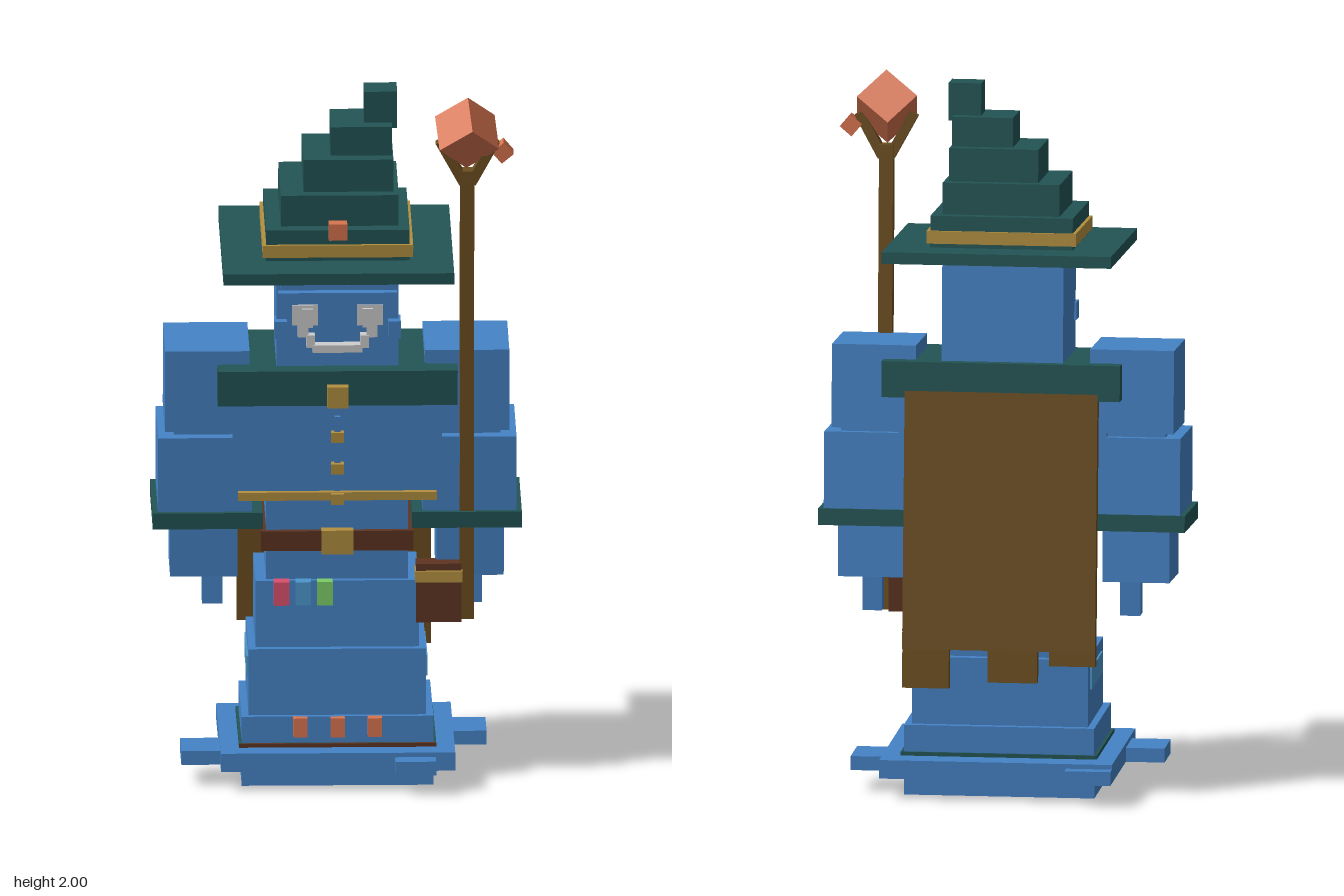
import * as THREE from 'three';

const mat = (name, color) => {
  const m = new THREE.MeshStandardMaterial({ color });
  m.name = name;
  return m;
};

export function createModel() {
  const model = new THREE.Group();
  model.name = 'wizardFigure';
  const blue = mat('robe blue', 0x4583c6);
  const green = mat('hat green', 0x235454);
  const gold = mat('gold', 0xb3903f);
  const leather = mat('leather brown', 0x5e3422);
  const wood = mat('wood brown', 0x6e4f20);
  const copper = mat('copper', 0xd8744f);
  const white = mat('pale grey', 0xcdcdcd);
  const sky = mat('light blue', 0x4c96cb);
  const pink = mat('pink', 0xd9506c);
  const lime = mat('lime', 0x7ccb68);
  const LEAN = 0.055; // forward lean of the upper body

  // Box from its bounds, turned about its own centre
  function box(name, material, x, y, z, rx = 0, rz = 0) {
    const mesh = new THREE.Mesh(
      new THREE.BoxGeometry(x[1] - x[0], y[1] - y[0], z[1] - z[0]), material);
    mesh.position.set((x[0] + x[1]) / 2, (y[0] + y[1]) / 2, (z[0] + z[1]) / 2);
    mesh.rotation.set(rx, 0, rz);
    mesh.name = name;
    model.add(mesh);
    return mesh;
  }
  // Same box on both sides
  function pair(name, material, x, y, z, rx = 0) {
    box(name + 'Left', material, x, y, z, rx);
    box(name + 'Right', material, [-x[1], -x[0]], y, z, rx);
  }

  // Base and its spreading hem
  box('base', blue, [-0.27, 0.27], [0, 0.06], [-0.22, 0.185]);
  box('hemPlate', blue, [-0.33, 0.33], [0.06, 0.113], [-0.305, 0.26]);
  box('hemBumpLeft', blue, [0.3, 0.425], [0.06, 0.1], [-0.185, -0.03]);
  box('hemBumpRight', blue, [-0.44, -0.3], [0.06, 0.1], [0.03, 0.178]);
  box('hemBumpBack', blue, [-0.33, -0.2], [0.06, 0.1], [-0.345, -0.28]);
  box('hemBumpFront', blue, [0.16, 0.275], [0.06, 0.1], [0.24, 0.312]);
  box('hemTrim', green, [-0.278, 0.278], [0.11, 0.124], [-0.228, 0.188]);
  box('hemTrimFront', leather, [-0.278, 0.278], [0.112, 0.124], [0.186, 0.194]);

  // Robe tiers
  box('robeLower', blue, [-0.27, 0.27], [0.12, 0.2], [-0.222, 0.182]);
  box('robeMiddle', blue, [-0.25, 0.25], [0.2, 0.392], [-0.2, 0.165]);
  box('robeUpper', blue, [-0.23, 0.23], [0.39, 0.585], [-0.175, 0.142]);
  pair('robeSidePatch', sky, [0.247, 0.255], [0.3, 0.36], [-0.152, 0.118]);
  for (const x of [-0.105, 0, 0.105])
    box('hemStud', copper, [x - 0.02, x + 0.02], [0.145, 0.2], [0.178, 0.207]);

  // Vials on the robe front
  [pink, sky, lime].forEach((m, i) => {
    const x = -0.157 + i * 0.061;
    box('vial', m, [x - 0.022, x + 0.022], [0.52, 0.588], [0.13, 0.172]);
  });

  // Torso, belt and chest
  box('waist', blue, [-0.2, 0.2], [0.57, 0.86], [-0.125, 0.13], LEAN);
  box('belt', leather, [-0.215, 0.215], [0.68, 0.738], [-0.152, 0.145], LEAN);
  box('buckle', gold, [-0.045, 0.045], [0.667, 0.737], [0.135, 0.165], LEAN);
  box('chest', blue, [-0.295, 0.295], [0.835, 1.12], [-0.145, 0.155], LEAN);
  box('chestTrim', gold, [-0.28, 0.28], [0.824, 0.848], [0.13, 0.163], LEAN);
  box('placket', blue, [-0.008, 0.008], [0.85, 1.07], [0.15, 0.167], LEAN);
  for (const y of [0.83, 0.918, 1.01])
    box('button', gold, [-0.018, 0.018], [y - 0.015, y + 0.015], [0.15, 0.178], LEAN);
  box('chestFold', blue, [0.05, 0.11], [1.077, 1.13], [0.15, 0.175], LEAN);
  box('collar', green, [-0.338, 0.338], [1.12, 1.222], [-0.183, 0.206], LEAN);
  box('clasp', gold, [-0.03, 0.03], [1.11, 1.172], [0.2, 0.235], LEAN);

  // Arms
  pair('shoulder', blue, [0.247, 0.485], [1.025, 1.262], [-0.132, 0.138], LEAN);
  pair('armJoint', blue, [0.27, 0.46], [0.98, 1.05], [-0.12, 0.12], LEAN);
  pair('sleeve', blue, [0.24, 0.505], [0.78, 1.013], [-0.15, 0.148], LEAN);
  pair('cuff', green, [0.21, 0.52], [0.748, 0.795], [-0.165, 0.155], LEAN);
  pair('forearm', blue, [0.28, 0.47], [0.595, 0.76], [-0.108, 0.11], LEAN);
  box('handLeft', blue, [0.355, 0.41], [0.49, 0.62], [-0.03, 0.028]);
  box('handRight', blue, [-0.378, -0.32], [0.49, 0.62], [-0.03, 0.028]);

  // Cape with a ragged lower edge
  box('cape', wood, [-0.275, 0.272], [0.47, 1.15], [-0.214, -0.178], 0.085);
  box('capeHem', wood, [-0.275, 0.272], [0.42, 0.5], [-0.243, -0.208], 0.085);
  [[0.14, 0.272, 0.31], [-0.11, 0.03, 0.33], [-0.275, -0.145, 0.38]].forEach(([a, b, y]) =>
    box('capeTab', wood, [a, b], [y, 0.44], [-0.244, -0.209], 0.05));

  // Head and face
  box('head', blue, [-0.172, 0.172], [1.2, 1.53], [-0.135, 0.165], LEAN);
  box('browRidge', blue, [-0.168, 0.168], [1.403, 1.437], [0.15, 0.195], LEAN);
  pair('eyebrow', blue, [0.03, 0.162], [1.452, 1.476], [0.15, 0.215], LEAN);
  pair('cheek', blue, [0.143, 0.178], [1.302, 1.353], [0.13, 0.19], LEAN);
  pair('eye', white, [0.055, 0.128], [1.34, 1.4], [0.15, 0.188], LEAN);
  pair('pupil', white, [0.07, 0.1], [1.335, 1.39], [0.17, 0.196], LEAN);
  pair('moustacheEnd', white, [0.082, 0.112], [1.305, 1.345], [0.15, 0.188], LEAN);
  pair('moustacheBend', white, [0.064, 0.088], [1.275, 1.312], [0.15, 0.19], LEAN);
  box('moustacheBar', white, [-0.07, 0.07], [1.262, 1.284], [0.15, 0.193], LEAN);

  // Hat: brim, band and stacked tiers bending to the side
  box('hatBrim', green, [-0.325, 0.325], [1.515, 1.548], [-0.29, 0.345], LEAN);
  box('hatBand', gold, [-0.212, 0.212], [1.56, 1.596], [-0.173, 0.235], LEAN);
  [
    [-0.202, 0.202, 1.53, 1.638, -0.163, 0.226],
    [-0.16, 0.172, 1.62, 1.728, -0.122, 0.192],
    [-0.095, 0.158, 1.71, 1.822, -0.083, 0.163],
    [-0.018, 0.155, 1.8, 1.906, -0.042, 0.128],
    [0.077, 0.17, 1.89, 1.997, 0.005, 0.092],
  ].forEach(([a, b, c, d, e, f]) => box('hatTier', green, [a, b], [c, d], [e, f], LEAN));
  box('hatGem', copper, [-0.026, 0.026], [1.602, 1.65], [0.21, 0.247], LEAN);

  // Pouch at the hip
  box('pouch', leather, [0.222, 0.35], [0.465, 0.635], [0.09, 0.155]);
  box('pouchBand', gold, [0.219, 0.353], [0.583, 0.615], [0.087, 0.163]);

  // Staff with forked top and crystal
  box('staff', wood, [0.345, 0.385], [0.468, 1.79], [0.125, 0.165], 0.05);
  box('prongRight', wood, [0.308, 0.336], [1.745, 1.885], [0.165, 0.2], LEAN, 0.5);
  box('prongLeft', wood, [0.396, 0.424], [1.745, 1.885], [0.165, 0.2], LEAN, -0.5);
  const a = new THREE.Vector3(0.092, 0.065, 0.042).normalize();
  const b = new THREE.Vector3(-0.0755, 0.068, 0.064);
  b.addScaledVector(a, -a.dot(b)).normalize();
  const tilt = new THREE.Matrix4().makeBasis(a, b, a.clone().cross(b));
  box('crystal', copper, [0.305, 0.425], [1.836, 1.956], [0.12, 0.24])
    .quaternion.setFromRotationMatrix(tilt);
  box('crystalShard', copper, [0.443, 0.487], [1.82, 1.864], [0.152, 0.2], LEAN, 0.7);
  return model;
}
